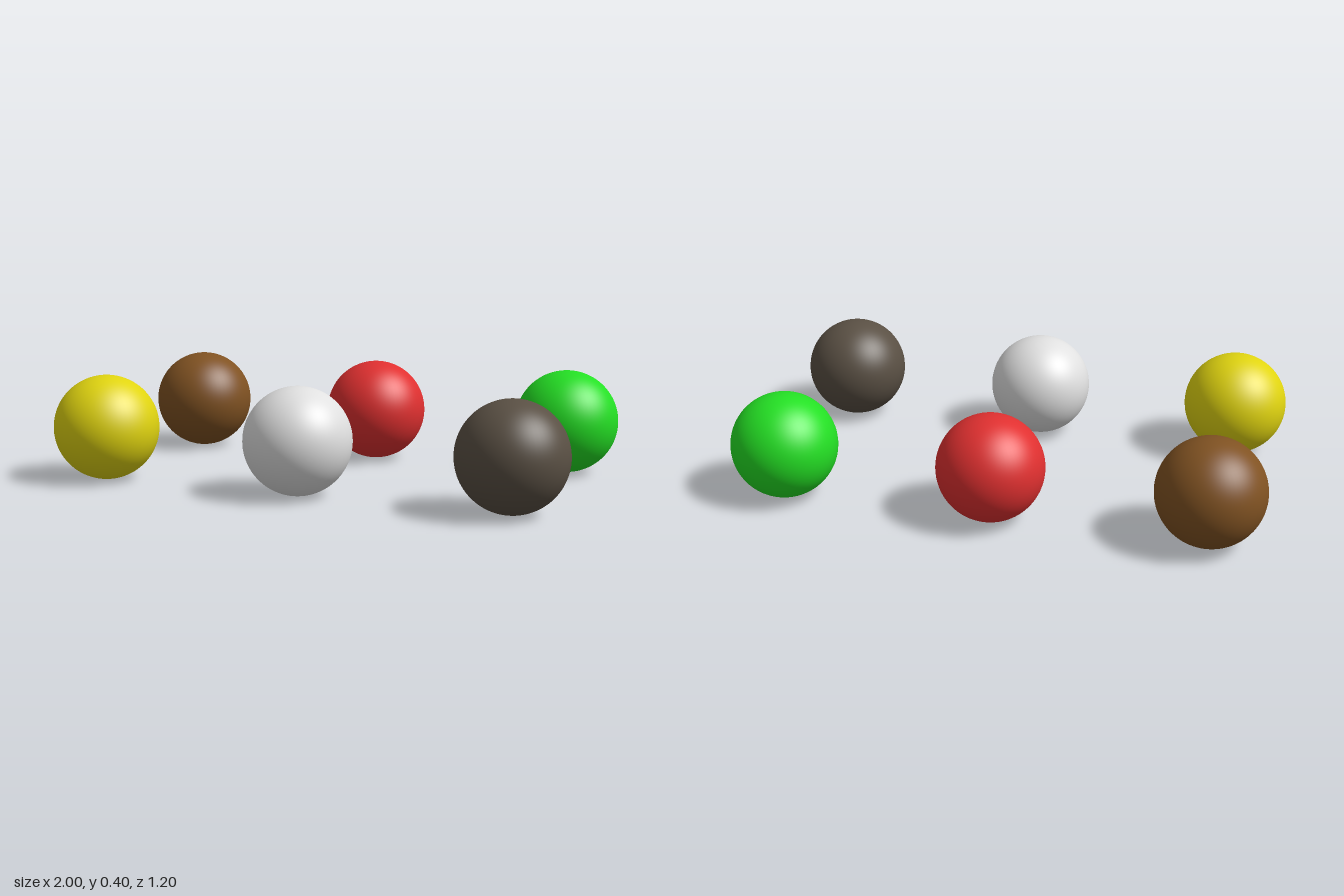
import * as THREE from 'three';

export function createModel() {
  const model = new THREE.Group();
  model.name = 'sphereGrid';

  const radius = 0.2;
  const geometry = new THREE.SphereGeometry(radius, 64, 48);

  // Two rows of three balls: [name, colour, x, z]
  const balls = [
    ['yellow', 0xe0d410, -0.8, 0.4],
    ['white', 0xe0e0e0, 0, 0.4],
    ['darkGrey', 0x5a5044, 0.8, 0.4],
    ['brown', 0x805222, -0.8, -0.4],
    ['red', 0xe03030, 0, -0.4],
    ['green', 0x24e024, 0.8, -0.4],
  ];

  for (const [name, color, x, z] of balls) {
    const material = new THREE.MeshStandardMaterial({ color });
    material.name = name;
    const ball = new THREE.Mesh(geometry, material);
    ball.name = `${name}Ball`;
    ball.position.set(x, radius, z);
    model.add(ball);
  }

  return model;
}
